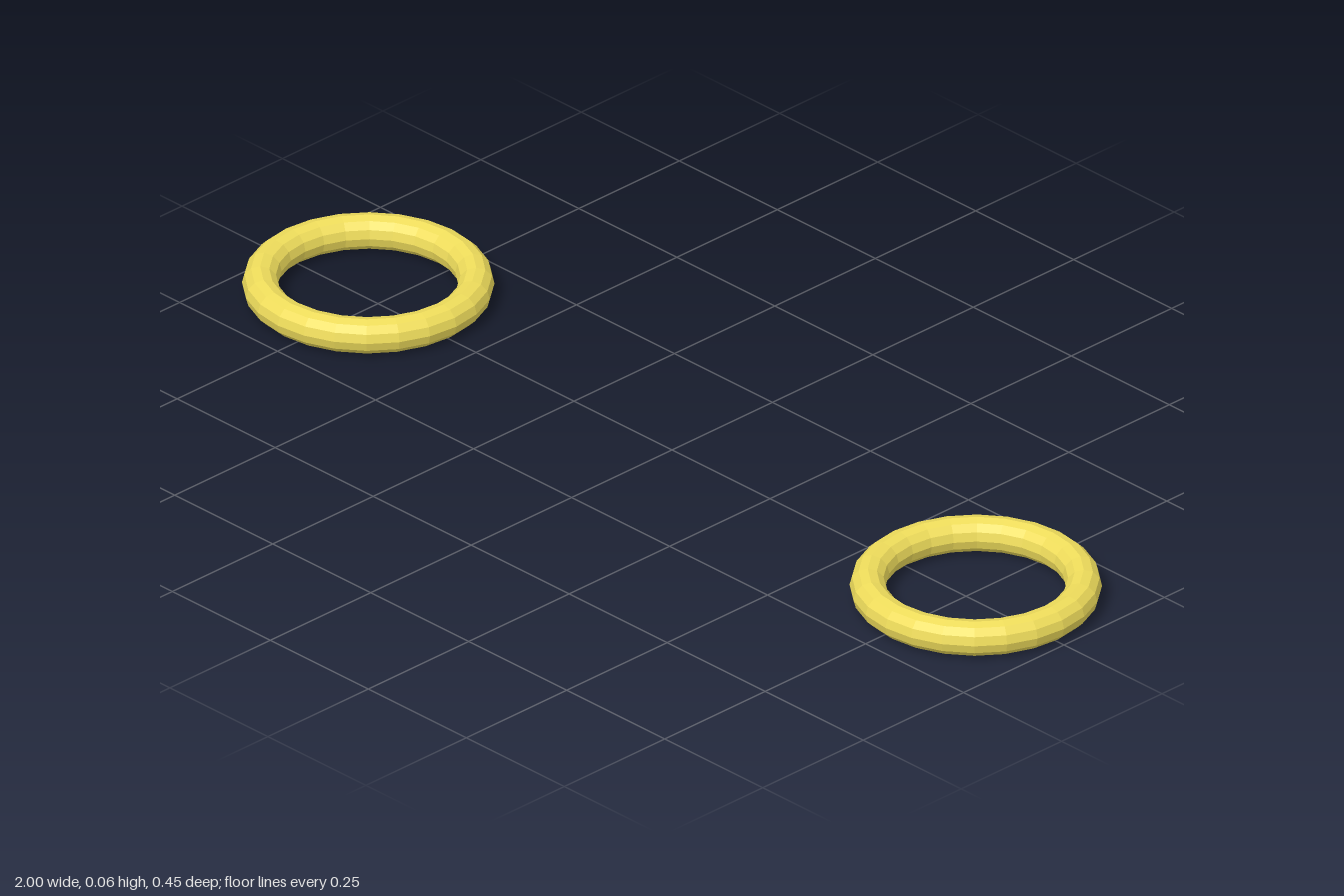
import * as THREE from 'three';

export function createModel() {
  const model = new THREE.Group();
  model.name = 'ringPair';
  const gold = new THREE.MeshStandardMaterial({ color: 0xeedc5b, flatShading: true });

  // Faceted ring lying flat, shared by both sides
  const tube = 0.0325;
  const ringGeometry = new THREE.TorusGeometry(0.1925, tube, 12, 24).rotateX(-Math.PI / 2);

  for (const [name, side] of [['leftRing', 1], ['rightRing', -1]]) {
    const ring = new THREE.Mesh(ringGeometry, gold);
    ring.name = name;
    ring.position.set(side * 0.775, tube, 0);
    model.add(ring);
  }
  return model;
}
